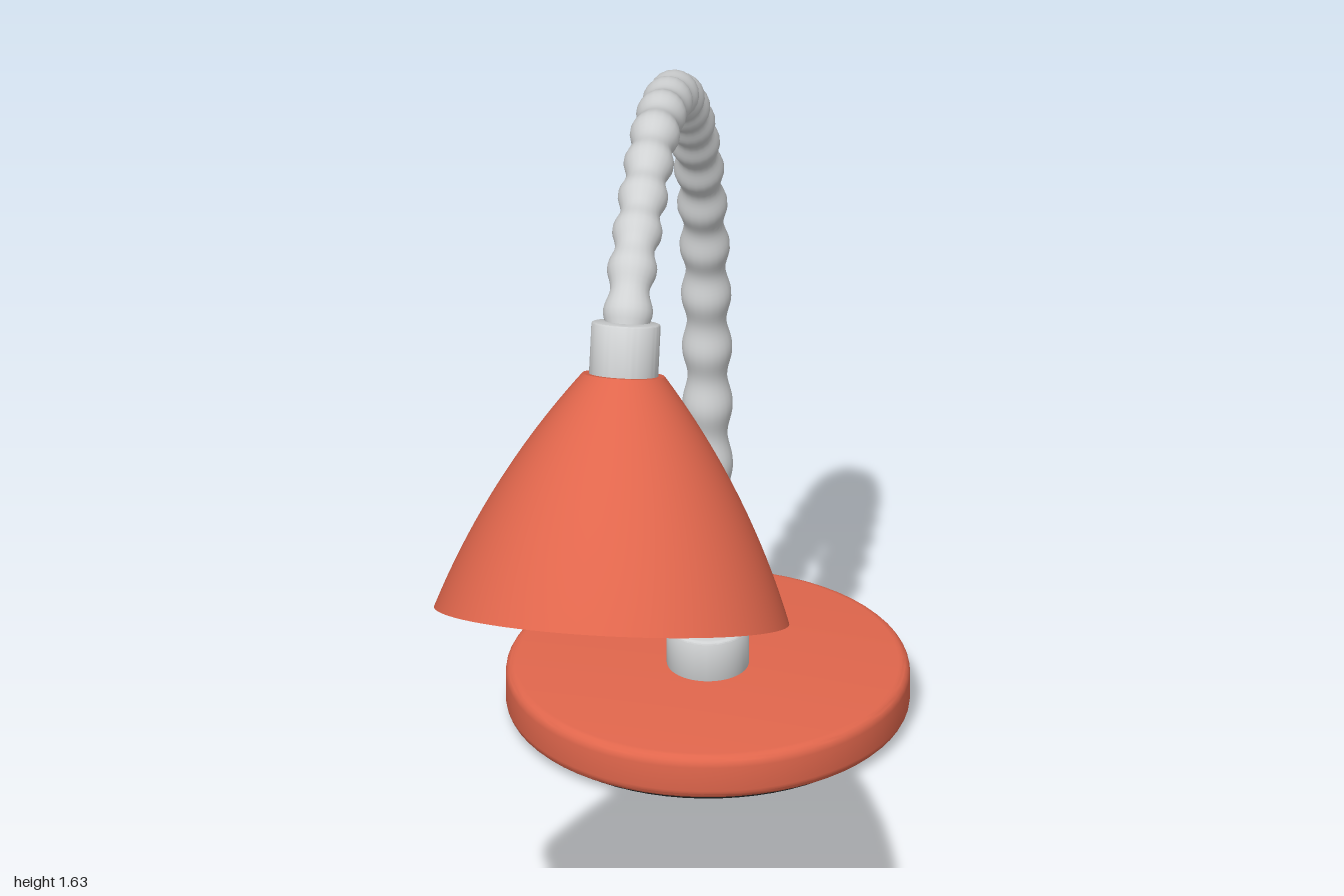
import * as THREE from 'three';
import { mergeVertices, toCreasedNormals } from 'three/addons/utils/BufferGeometryUtils.js';

const red = new THREE.MeshStandardMaterial({ color: 0xe0664c });
red.name = 'coral paint';
const grey = new THREE.MeshStandardMaterial({ color: 0xd0d2d3 });
grey.name = 'light grey metal';
const black = new THREE.MeshStandardMaterial({ color: 0x1a1a1a });
black.name = 'black rubber';

const BASE_Z = -0.635;
const v2 = (x, y) => new THREE.Vector2(x, y);

function part(parent, name, geometry, material) {
  const mesh = new THREE.Mesh(geometry, material);
  mesh.name = name;
  parent.add(mesh);
  return mesh;
}

// Solid disc from y0 to y1 with rounded rims
function roundedDisc(radius, y0, y1, bevel) {
  const points = [v2(0, y0)];
  for (const [cy, start] of [[y0 + bevel, -Math.PI / 2], [y1 - bevel, 0]]) {
    for (let i = 0; i <= 5; i++) {
      const a = start + (i / 5) * Math.PI / 2;
      points.push(v2(radius - bevel + Math.cos(a) * bevel, cy + Math.sin(a) * bevel));
    }
  }
  points.push(v2(0, y1));
  return toCreasedNormals(new THREE.LatheGeometry(points, 64), 0.6);
}

// Gooseneck tube whose radius swells and narrows, with tighter ripples near the head
function gooseneck() {
  const path = [
    [-0.635, 0.1], [-0.635, 0.4], [-0.632, 0.62], [-0.62, 0.8], [-0.587, 1.0], [-0.505, 1.2],
    [-0.35, 1.39], [-0.15, 1.535], [0.088, 1.588], [0.29, 1.54], [0.43, 1.47], [0.52, 1.36]
  ];
  const curve = new THREE.CatmullRomCurve3(path.map(([z, y]) => new THREE.Vector3(0, y, z)));
  const steps = 260, sides = 20;
  const tube = new THREE.TubeGeometry(curve, steps, 1, sides, false);
  const pos = tube.attributes.position;
  const p = new THREE.Vector3();
  for (let i = 0; i <= steps; i++) {
    const t = i / steps;
    const centre = curve.getPointAt(t);
    const radius = 0.041 + 0.005 * Math.cos(2 * Math.PI * (16 * t + 7 * t * t));
    for (let j = 0; j <= sides; j++) {
      const k = i * (sides + 1) + j;
      p.fromBufferAttribute(pos, k).sub(centre).multiplyScalar(radius).add(centre);
      pos.setXYZ(k, p.x, p.y, p.z);
    }
  }
  tube.deleteAttribute('uv');
  tube.deleteAttribute('normal');
  const merged = mergeVertices(tube, 1e-5);
  merged.computeVertexNormals();
  return merged;
}

// Curved shade profile from the open rim up to the neck
function shadeProfile(inset) {
  return new THREE.QuadraticBezierCurve(
    v2(0.323 - inset, -0.441), v2(0.238 - inset, -0.2), v2(0.075 - inset, 0)
  ).getPoints(24);
}

export function createModel() {
  const lamp = new THREE.Group();
  lamp.name = 'deskLamp';

  // Weighted foot
  const foot = new THREE.Group();
  foot.name = 'foot';
  foot.position.z = BASE_Z;
  lamp.add(foot);
  part(foot, 'base', roundedDisc(0.367, 0.012, 0.1, 0.02), red);
  part(foot, 'rubberPad', new THREE.CylinderGeometry(0.335, 0.335, 0.014, 64), black).position.y = 0.007;
  part(foot, 'baseCollar', roundedDisc(0.075, 0.095, 0.18, 0.008), grey);

  part(lamp, 'gooseneckArm', gooseneck(), grey);

  // Tilted head, its origin at the top of the shade
  const head = new THREE.Group();
  head.name = 'head';
  head.position.set(0, 1.327, 0.533);
  head.rotation.x = -0.385;
  lamp.add(head);
  part(head, 'headCollar', roundedDisc(0.063, -0.01, 0.095, 0.005), grey);

  const outer = shadeProfile(0);
  const inner = shadeProfile(0.006);
  part(head, 'shade', new THREE.LatheGeometry(outer, 72), red);
  part(head, 'shadeTop', new THREE.LatheGeometry([v2(0.075, 0), v2(0, 0)], 72), red);
  part(head, 'shadeRim', new THREE.LatheGeometry([inner[0], outer[0]], 72), red);
  part(head, 'shadeLining', new THREE.LatheGeometry([...inner.reverse()], 72), grey);
  part(head, 'liningTop', new THREE.LatheGeometry([v2(0, -0.012), v2(0.08, -0.012)], 72), grey);

  return lamp;
}
